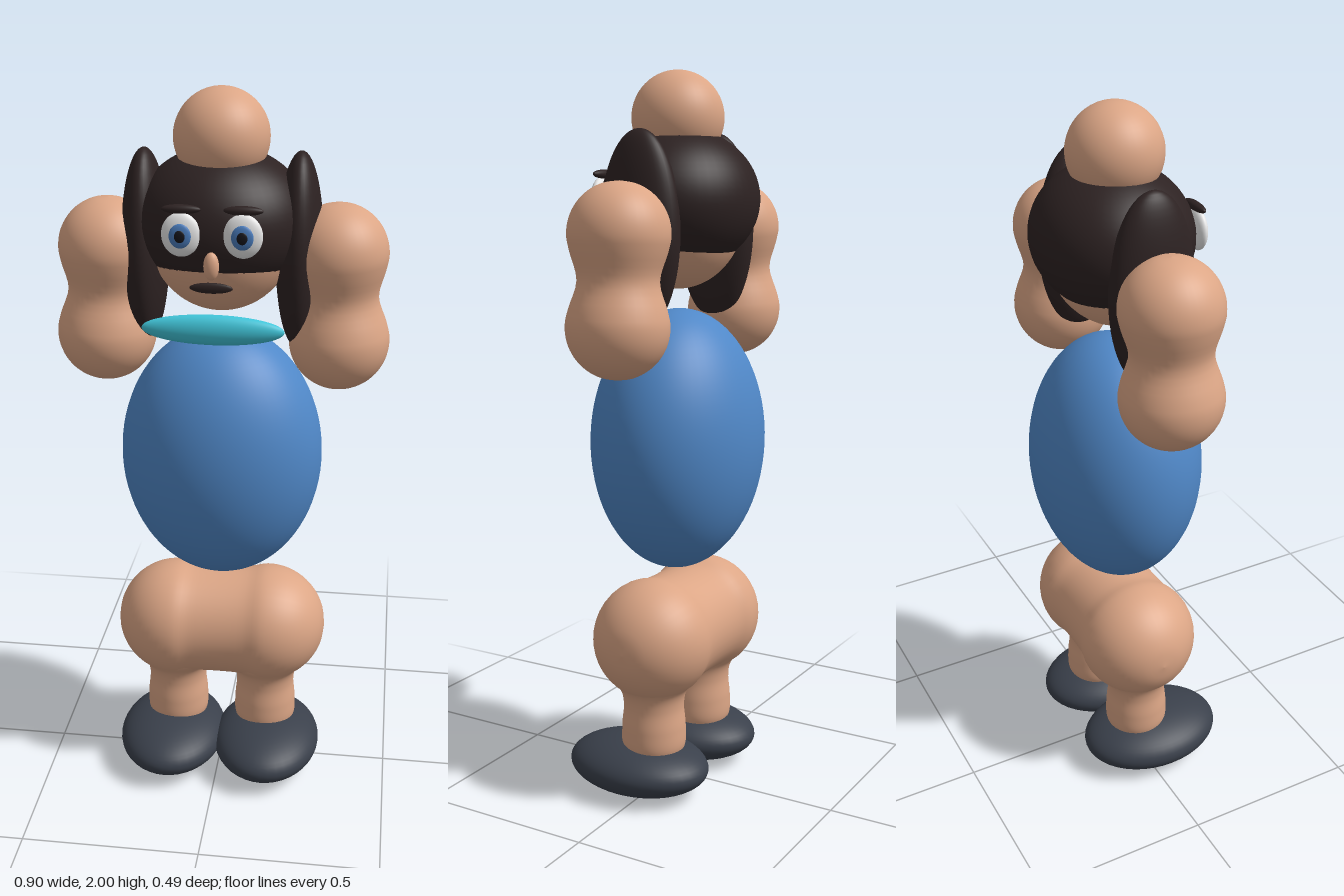
import * as THREE from 'three';

const mat = (name, color) => {
  const m = new THREE.MeshStandardMaterial({ color });
  m.name = name;
  return m;
};

export function createModel() {
  const skin = mat('skin', 0xdca686);
  const hair = mat('dark brown hair', 0x2d2222);
  const blue = mat('blue cloth', 0x5088c8);
  const shoeGrey = mat('shoe grey', 0x3a404b);
  const cyan = mat('cyan band', 0x41c6da);
  const white = mat('eye white', 0xeeeeee);
  const irisBlue = mat('iris blue', 0x4a7cbc);
  const black = mat('pupil black', 0x15151c);

  const model = new THREE.Group();
  model.name = 'figure';

  const add = (name, geometry, material, position) => {
    const mesh = new THREE.Mesh(geometry, material);
    mesh.name = name;
    mesh.position.set(...position);
    model.add(mesh);
    return mesh;
  };
  const ellipsoid = (name, material, position, radii, detail = 40) =>
    add(name, new THREE.SphereGeometry(1, detail, detail * 0.7).scale(...radii), material, position);

  // Soft limb: a smooth profile of [radius, height] turned around y
  const limb = (profile) => {
    const curve = new THREE.SplineCurve(profile.map(([r, y]) => new THREE.Vector2(r, y)));
    const points = curve.getPoints(56);
    points.forEach((p) => { p.x = Math.max(p.x, 0); });
    return new THREE.LatheGeometry(points, 40);
  };
  // Two balls joined by a neck, with centres at y0 and y1
  const dumbbell = (y0, r0, y1, r1, neck) => {
    const arc = (y, r, from, to) => {
      const out = [];
      for (let i = 0; i <= 6; i++) {
        const a = THREE.MathUtils.degToRad(from + ((to - from) * i) / 6);
        out.push([r * Math.cos(a), y + r * Math.sin(a)]);
      }
      return out;
    };
    return limb([...arc(y0, r0, -90, 20), [neck, (y0 + y1) / 2], ...arc(y1, r1, -20, 90)]);
  };

  // Torso
  ellipsoid('torso', blue, [0, 1, -0.013], [0.281, 0.366, 0.23], 56);

  // Head, hair and bun
  ellipsoid('head', skin, [0, 1.63, -0.01], [0.197, 0.21, 0.18], 48);
  ellipsoid('hairCap', hair, [0, 1.66, -0.02], [0.23, 0.19, 0.21], 48);
  ellipsoid('topBall', skin, [0, 1.875, -0.01], [0.125, 0.125, 0.125]);

  // Face and neck band
  ellipsoid('nose', skin, [0, 1.59, 0.197], [0.02, 0.036, 0.017], 20);
  ellipsoid('mouth', hair, [0, 1.535, 0.2], [0.055, 0.014, 0.008], 20);
  ellipsoid('neckBand', cyan, [0, 1.417, 0.175], [0.185, 0.04, 0.027]);

  // Hips: two balls merged sideways
  const hips = add('hips', dumbbell(-0.135, 0.17, 0.135, 0.17, 0.157), skin, [0, 0.455, -0.012]);
  hips.rotation.z = Math.PI / 2;

  const arm = dumbbell(-0.118, 0.135, 0.118, 0.133, 0.106);
  const leg = limb([[0, 0.09], [0.06, 0.1], [0.088, 0.14], [0.09, 0.2], [0.085, 0.26],
    [0.094, 0.305], [0.125, 0.345], [0.14, 0.39]]);

  for (const [side, s] of [['left', 1], ['right', -1]]) {
    // Hair lock beside the head
    ellipsoid(side + 'HairLock', hair, [s * 0.205, 1.58, -0.015], [0.062, 0.262, 0.117]);

    // Eye with iris, pupil and brow
    const x = s * 0.078;
    ellipsoid(side + 'Eye', white, [x, 1.665, 0.183], [0.05, 0.056, 0.02], 28);
    ellipsoid(side + 'Iris', irisBlue, [x, 1.665, 0.2], [0.028, 0.031, 0.008], 24);
    ellipsoid(side + 'Pupil', black, [x, 1.665, 0.206], [0.014, 0.016, 0.004], 20);
    ellipsoid(side + 'Brow', hair, [x, 1.728, 0.178], [0.05, 0.012, 0.013], 20);

    // Arm, leaning slightly outwards at its lower end
    const armMesh = add(side + 'Arm', arm, skin, [s * 0.312, 1.46, -0.017]);
    armMesh.rotation.z = s * 0.04;

    // Leg and shoe
    add(side + 'Leg', leg, skin, [s * 0.133, 0, -0.01]);
    ellipsoid(side + 'Shoe', shoeGrey, [s * 0.143, 0.078, 0.034], [0.157, 0.078, 0.21]);
  }
  return model;
}
